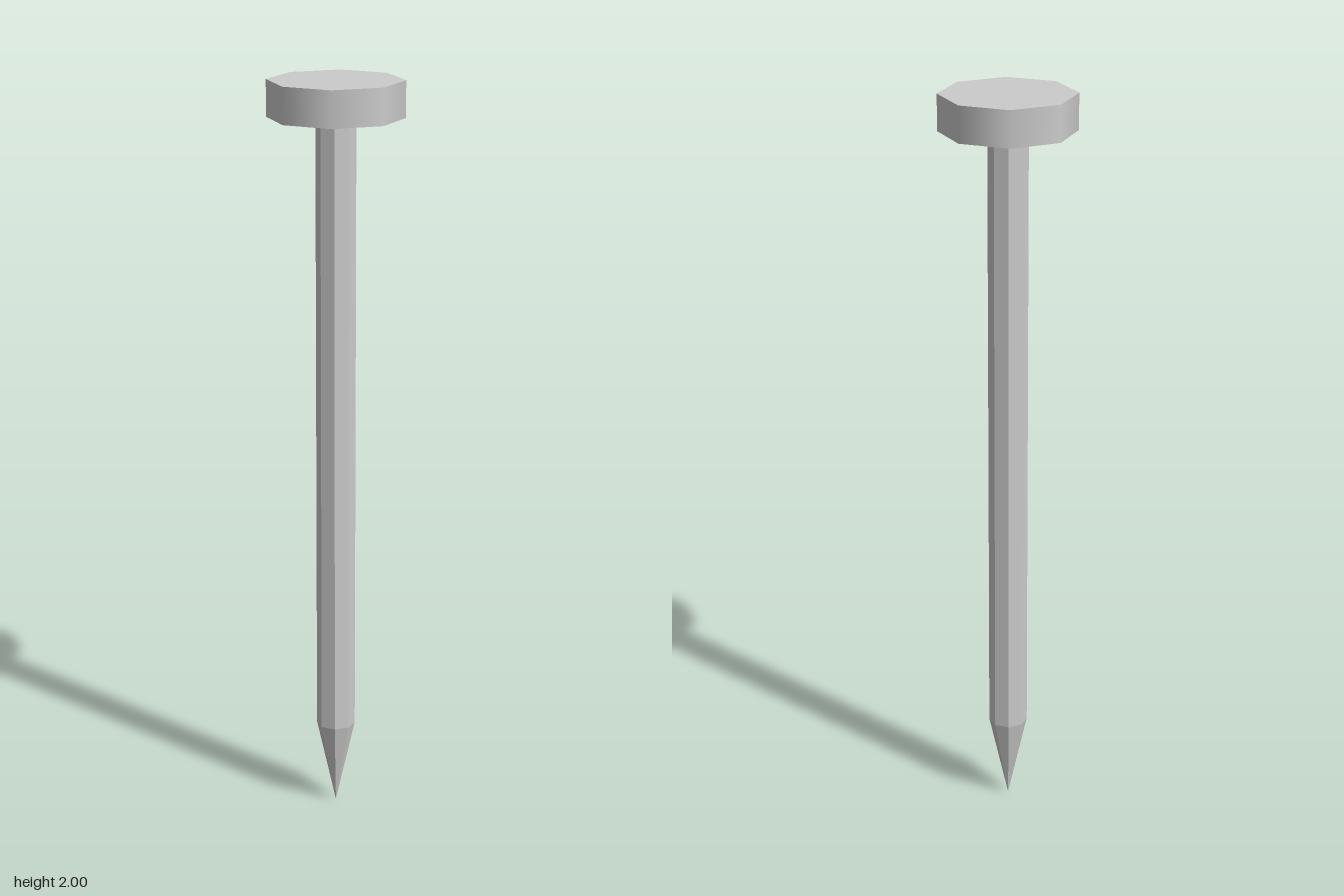
import * as THREE from 'three';

const SIDES = 8;
const SHAFT_RADIUS = 0.052;
const TIP_TOP = 0.235;
const HEAD_BOTTOM = 1.905;

export function createModel() {
  const group = new THREE.Group();
  group.name = 'nail';
  const smooth = new THREE.MeshStandardMaterial({ color: 0xcccccc });
  const faceted = new THREE.MeshStandardMaterial({ color: 0xcccccc, flatShading: true });

  // Adds an eight-sided section between two heights
  function addSection(name, topRadius, bottomRadius, bottom, top, material, open) {
    const geometry = new THREE.CylinderGeometry(topRadius, bottomRadius, top - bottom, SIDES, 1, open);
    const mesh = new THREE.Mesh(geometry, material);
    mesh.name = name;
    mesh.position.y = (top + bottom) / 2;
    group.add(mesh);
  }

  // Flat head with softly shaded rim
  addSection('head', 0.177, 0.177, HEAD_BOTTOM, 2, smooth, false);
  // Faceted shaft, open where it meets the head and the tip
  addSection('shaft', SHAFT_RADIUS, SHAFT_RADIUS, TIP_TOP, HEAD_BOTTOM, faceted, true);
  // Sharp point
  addSection('tip', SHAFT_RADIUS, 0, 0, TIP_TOP, faceted, true);

  return group;
}
